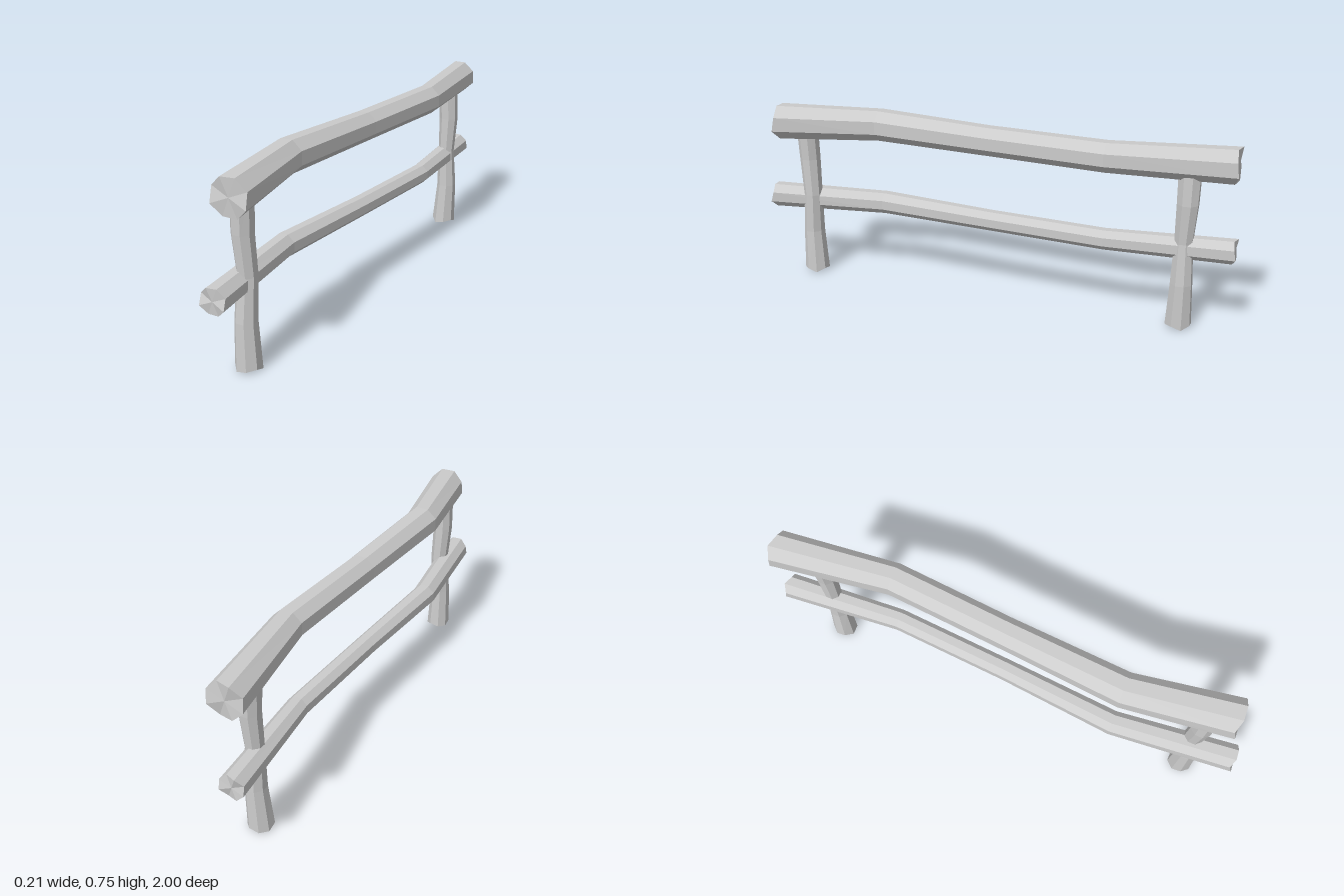
import * as THREE from 'three';

const SIDES = 8;
const material = new THREE.MeshStandardMaterial({ color: 0xcccccc, flatShading: true });

// Lofts an octagonal log through sections [along, a, b, radius].
// Rails run along z (a = x, b = y); posts run along y (a = x, b = z).
function log(name, sections, upright) {
  const last = sections.length - 1;
  const place = (s, a, b) => (upright ? [a, s, b] : [a, b, s]);
  const pos = [], index = [];
  sections.forEach(([s, a, b, r], i) => {
    for (let j = 0; j < SIDES; j++) {
      const t = ((j + 0.5) / SIDES) * Math.PI * 2;
      // roughly sawn ends and a slightly uneven girth
      const rough = i === 0 || i === last ? 0.008 * Math.sin(j * 2.4 + i) : 0;
      const rr = r * (1.04 + 0.025 * Math.sin(j * 1.9 + 1));
      const u = rr * Math.cos(t), v = rr * Math.sin(t);
      pos.push(...(upright ? place(s + rough, a + v, b + u) : place(s + rough, a + u, b + v)));
    }
  });
  // bark faces
  for (let i = 0; i < last; i++) {
    for (let j = 0; j < SIDES; j++) {
      const p = i * SIDES + j, q = i * SIDES + ((j + 1) % SIDES);
      index.push(p, q, q + SIDES, p, q + SIDES, p + SIDES);
    }
  }
  // end caps
  [0, last].forEach((i) => {
    const c = pos.length / 3;
    pos.push(...place(...sections[i].slice(0, 3)));
    for (let j = 0; j < SIDES; j++) {
      const p = i * SIDES + j, q = i * SIDES + ((j + 1) % SIDES);
      if (i === 0) index.push(c, q, p);
      else index.push(c, p, q);
    }
  });
  const indexed = new THREE.BufferGeometry();
  indexed.setAttribute('position', new THREE.Float32BufferAttribute(pos, 3));
  indexed.setIndex(index);
  const geometry = indexed.toNonIndexed();
  geometry.computeVertexNormals();
  const mesh = new THREE.Mesh(geometry, material);
  mesh.name = name;
  return mesh;
}

export function createModel() {
  const group = new THREE.Group();
  group.name = 'logFence';

  // thick crooked top rail
  group.add(log('topRail', [
    [-0.975, -0.018, 0.682, 0.07],
    [-0.49, 0.042, 0.683, 0.061],
    [0, 0.003, 0.683, 0.06],
    [0.49, -0.036, 0.69, 0.066],
    [0.925, 0.03, 0.683, 0.074],
  ], false));

  // thinner lower rail
  group.add(log('lowerRail', [
    [-0.99, -0.025, 0.336, 0.049],
    [-0.49, 0.014, 0.334, 0.042],
    [0, -0.018, 0.335, 0.042],
    [0.49, -0.06, 0.337, 0.047],
    [0.992, -0.006, 0.333, 0.052],
  ], false));

  // two bent posts
  group.add(log('frontPost', [
    [0.008, 0, 0.815, 0.05],
    [0.19, -0.001, 0.818, 0.042],
    [0.36, 0.006, 0.808, 0.037],
    [0.52, -0.001, 0.816, 0.041],
    [0.67, 0.004, 0.818, 0.043],
  ], true));
  group.add(log('backPost', [
    [0.008, 0.001, -0.798, 0.05],
    [0.19, 0.01, -0.8, 0.042],
    [0.36, 0.005, -0.797, 0.035],
    [0.52, 0.01, -0.803, 0.041],
    [0.67, 0.003, -0.802, 0.043],
  ], true));

  return group;
}
